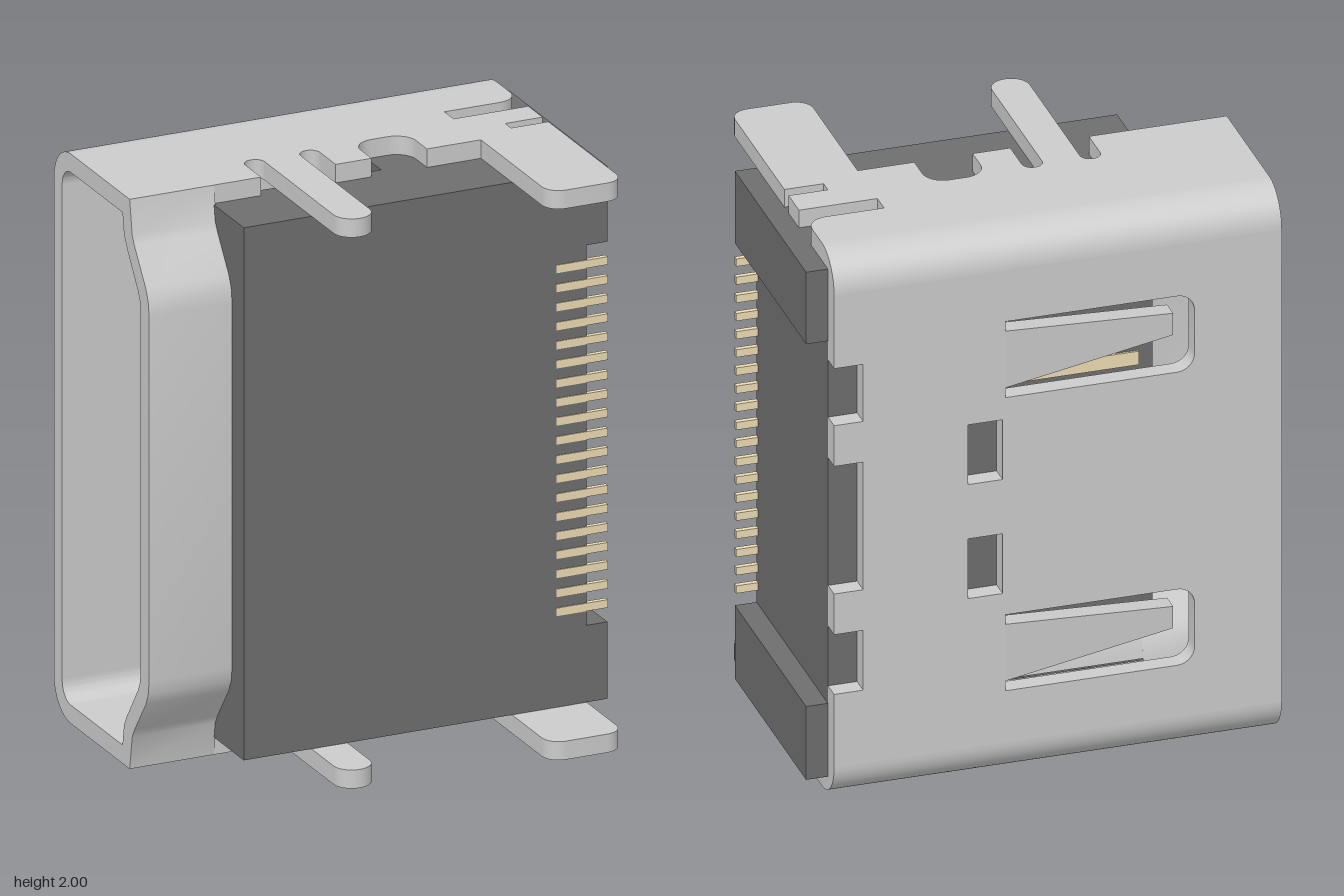
import * as THREE from 'three';
import { toCreasedNormals } from 'three/addons/utils/BufferGeometryUtils.js';

const metal = new THREE.MeshStandardMaterial({ color: 0xcccccc });
const plastic = new THREE.MeshStandardMaterial({ color: 0x6e6e6e });
const brass = new THREE.MeshStandardMaterial({ color: 0xeddcb4 });

const T = 0.065; // sheet thickness

// Closed outline from [a, b, cornerRadius?] points
function outline(pts, Kind = THREE.Shape) {
  const s = new Kind();
  const v = pts.map(p => new THREE.Vector2(p[0], p[1]));
  pts.forEach((p, i) => {
    const r = p[2] || 0, c = v[i];
    const prev = v[(i + v.length - 1) % v.length], next = v[(i + 1) % v.length];
    const a = c.clone().add(prev.clone().sub(c).setLength(r));
    const b = c.clone().add(next.clone().sub(c).setLength(r));
    if (i === 0) s.moveTo(a.x, a.y); else s.lineTo(a.x, a.y);
    if (r) {
      const h1 = a.clone().lerp(c, 0.55), h2 = b.clone().lerp(c, 0.55);
      s.bezierCurveTo(h1.x, h1.y, h2.x, h2.y, b.x, b.y);
    }
  });
  s.closePath();
  return s;
}

const extrude = (shape, depth) =>
  new THREE.ExtrudeGeometry(shape, { depth, bevelEnabled: false, curveSegments: 8 });

// Shape in (y, z), swept along x
function alongX(shape, x0, x1) {
  const g = extrude(shape, x1 - x0);
  g.applyMatrix4(new THREE.Matrix4().set(0, 0, 1, x0, 1, 0, 0, 0, 0, 1, 0, 0, 0, 0, 0, 1));
  return g;
}

// Shape in (z, x), swept along y
function alongY(shape, y0, y1) {
  const g = extrude(shape, y1 - y0);
  g.applyMatrix4(new THREE.Matrix4().set(0, 1, 0, 0, 0, 0, 1, y0, 1, 0, 0, 0, 0, 0, 0, 1));
  return g;
}

function box(x0, x1, y0, y1, z0, z1) {
  return new THREE.BoxGeometry(x1 - x0, y1 - y0, z1 - z0)
    .translate((x0 + x1) / 2, (y0 + y1) / 2, (z0 + z1) / 2);
}

// Half profile followed by its mirror about y = 1
const mirrored = half => [...half, ...half.map(([y, z]) => [2 - y, z]).reverse()];

export function createModel() {
  const model = new THREE.Group();
  const shell = new THREE.Group();
  const housing = new THREE.Group();
  const contacts = new THREE.Group();
  shell.name = 'metalShell';
  housing.name = 'housing';
  contacts.name = 'contacts';
  model.add(shell, housing, contacts);
  const add = (parent, name, geo, mat) => {
    const m = new THREE.Mesh(toCreasedNormals(geo, 0.5), mat);
    m.name = name;
    parent.add(m);
  };

  // Back plate with edge notches, square windows and spring slots
  const back = outline([
    [-0.81, 0.13], [0.73, 0.13],
    [0.73, 0.40], [0.63, 0.40], [0.63, 0.62], [0.73, 0.62],
    [0.73, 0.77], [0.63, 0.77], [0.63, 1.24], [0.73, 1.24],
    [0.73, 1.39], [0.63, 1.39], [0.63, 1.60], [0.73, 1.60],
    [0.73, 1.87], [-0.81, 1.87],
  ]);
  for (const y of [0.68, 1.10]) {
    back.holes.push(outline([[0.15, y], [0.27, y], [0.27, y + 0.22], [0.15, y + 0.22]], THREE.Path));
  }
  for (const y of [0.46, 1.54]) {
    back.holes.push(outline([
      [0.14, y - 0.14], [0.14, y + 0.14], [-0.51, y + 0.14, 0.06], [-0.51, y - 0.14, 0.06],
    ], THREE.Path));
    // Tapered spring finger leaning into the cavity
    const finger = extrude(outline([
      [0.145, y - 0.105], [0.145, y + 0.105], [-0.46, y + 0.04], [-0.46, y - 0.04],
    ]), T).translate(0, 0, -0.56);
    const p = finger.attributes.position;
    for (let i = 0; i < p.count; i++) p.setZ(i, p.getZ(i) + 0.12 * (0.145 - p.getX(i)));
    add(shell, 'springFinger', finger, metal);
  }
  add(shell, 'backPlate', extrude(back, T).translate(0, 0, -0.56), metal);

  // Rounded bends between back plate and side plates
  for (const [cy, a] of [[0.13, Math.PI], [1.87, Math.PI * 1.5]]) {
    const bend = new THREE.Shape();
    bend.absarc(cy, -0.43, 0.13, a, a + Math.PI / 2, false);
    bend.absarc(cy, -0.43, 0.13 - T, a + Math.PI / 2, a, true);
    add(shell, 'cornerBend', alongX(bend, -0.81, 0.73), metal);
  }

  // Side plates with relief slots and solder legs, points as [x, z, radius]
  const side = [
    [-0.81, -0.43], [-0.81, 0.025], [-0.335, 0.025],
    [-0.335, -0.13, 0.034], [-0.265, -0.13, 0.034],
    [-0.265, 0.5, 0.064], [-0.135, 0.5, 0.064],
    [-0.135, -0.13, 0.034], [-0.065, -0.13, 0.034],
    [-0.065, 0.025], [0.065, 0.025],
    [0.065, -0.13, 0.07], [0.265, -0.13, 0.07],
    [0.265, 0.025], [0.46, 0.025],
    [0.46, 0.555, 0.06], [0.73, 0.555, 0.06],
    [0.73, -0.03], [0.595, -0.03], [0.595, -0.075], [0.73, -0.075],
    [0.73, -0.185], [0.46, -0.185], [0.46, -0.255], [0.73, -0.255, 0.07],
    [0.73, -0.43],
  ].map(([x, z, r]) => [z, x, r]);
  for (const y of [0, 2 - T]) add(shell, 'sidePlate', alongY(outline(side), y, y + T), metal);

  // Flared front wall of the mouth, and its liner inside the housing
  const outer = [[0.12, 0.045], [0.15, 0.062], [0.27, 0.15], [0.31, 0.168], [0.36, 0.175]];
  const inner = [[0.065, -0.03], [0.14, -0.018], [0.18, 0.005], [0.30, 0.09], [0.33, 0.104], [0.37, 0.11]];
  const lip = [...mirrored([[0, 0.025], ...outer]), ...mirrored(inner).reverse()];
  add(shell, 'mouthWall', alongX(outline(lip), -0.81, -0.505), metal);
  const liner = [
    ...mirrored([[0.075, 0.035], ...outer]),
    ...mirrored([[0.075, -0.028], ...inner.slice(1)]).reverse(),
  ];
  add(shell, 'mouthLiner', alongX(outline(liner), -0.505, 0.12), metal);

  // Housing: front cover around the mouth, solid rear block, two end lugs
  const cover = [
    ...mirrored([[T, -0.02], [T, 0.265]]),
    ...mirrored([[0.075, -0.02], [0.075, 0.035], ...outer]).reverse(),
  ];
  add(housing, 'frontCover', alongX(outline(cover), -0.51, 0.12), plastic);
  add(housing, 'rearBlock', box(0.12, 0.73, T, 2 - T, -0.494, 0.265), plastic);
  for (const [y0, y1] of [[T, 0.335], [1.67, 2 - T]]) {
    add(housing, 'endLug', box(0.73, 0.805, y0, y1, -0.494, 0.265), plastic);
  }
  add(housing, 'tongue', box(-0.45, 0.12, 0.35, 1.65, -0.30, -0.16), plastic);

  // Solder tails and contact strips on both tongue faces
  for (let i = 0; i < 19; i++) {
    const y = 0.4 + i * 0.0669;
    add(contacts, 'solderTail', box(0.62, 0.805, y - 0.014, y + 0.014, 0.25, 0.268), brass);
    const z = i % 2 ? -0.16 : -0.30;
    add(contacts, 'contactStrip', box(-0.4, 0.12, y - 0.025, y + 0.025, z - 0.008, z + 0.008), brass);
  }
  return model;
}
